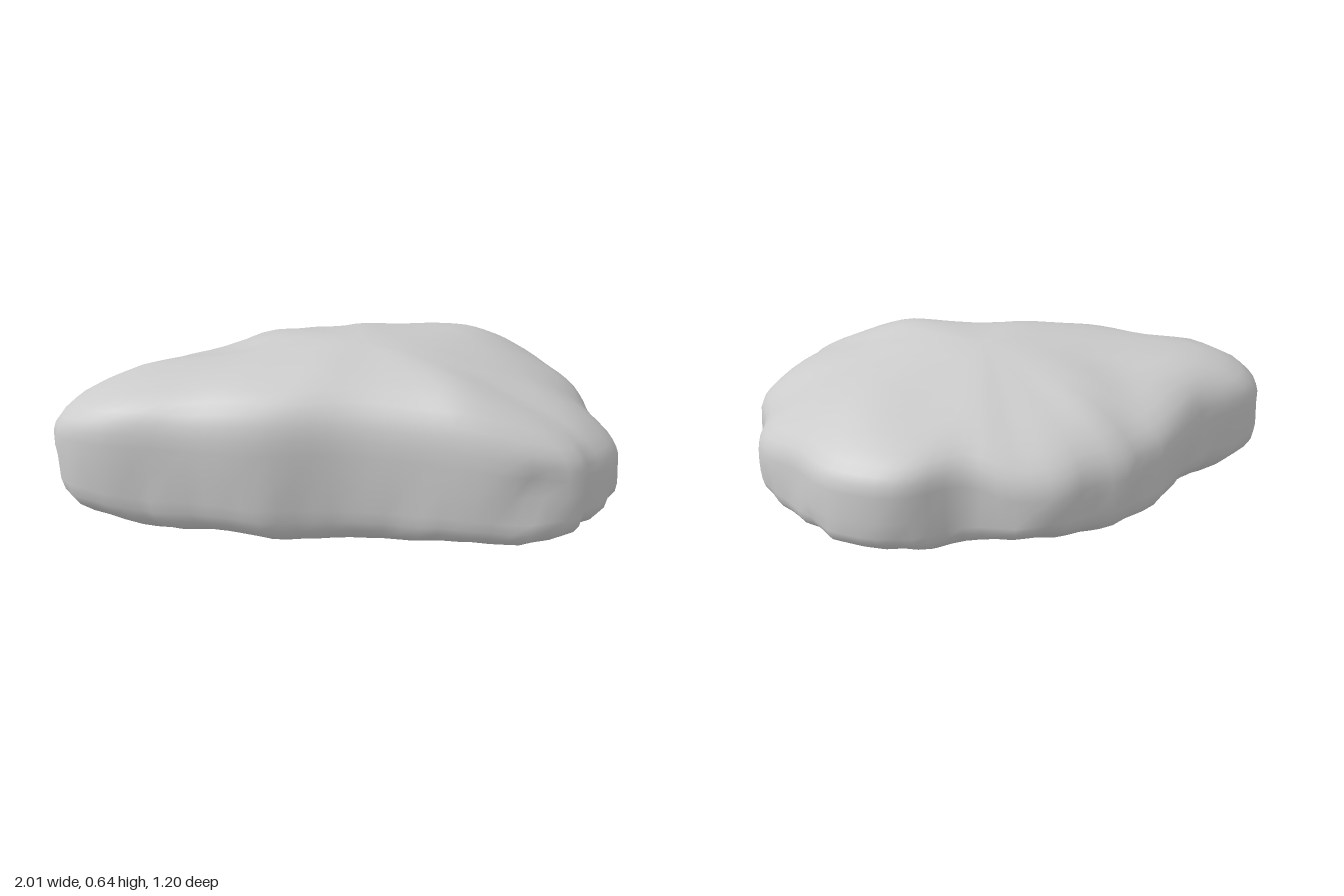
import * as THREE from 'three';

// Plan outline of the boulder at its widest, as [x, z]
const OUTLINE = [
  [-1, .38], [-.97, .28], [-.88, .19], [-.78, .1], [-.72, 0], [-.63, -.15], [-.55, -.23], [-.5, -.31],
  [-.37, -.38], [-.28, -.46], [-.1, -.5], [.06, -.49], [.25, -.59], [.37, -.6], [.55, -.55],
  [.7, -.4], [.86, -.25], [.9, -.18], [.93, 0], [1, .2], [.94, .36], [.88, .42], [.86, .49],
  [.77, .54], [.55, .57], [.3, .55], [.05, .54], [-.22, .59], [-.5, .58], [-.8, .57], [-.97, .49]
];
// How far the top drops below its peak, and the base rises above the ground, along x and z
const PEAK = .655;
const DROP_X = [[-1, .13], [-.9, .09], [-.72, .05], [-.5, .055], [-.3, .025], [0, 0], [.2, .01], [.42, .03], [.6, .08], [.83, .14], [1, .22]];
const DROP_Z = [[-.6, .145], [-.43, .1], [-.25, .05], [0, .01], [.12, 0], [.44, .015], [.6, .04]];
const LIFT_X = [[-1, .07], [-.67, .025], [-.35, .03], [.04, .005], [.4, .04], [1, .06]];
const LIFT_Z = [[-.6, .13], [-.42, .08], [-.25, .02], [-.08, .045], [.08, .06], [.4, .005], [.6, .02]];
const RADII = [.18, .36, .52, .66, .77, .86, .925, .965, .988, .998];
const SEGMENTS = 84;
const CENTRE = new THREE.Vector3(.08, 0, .12);
const { smoothstep, mapLinear } = THREE.MathUtils;

function sample(table, v) {
  for (let i = 1; i < table.length; i++) {
    const [a, ha] = table[i - 1], [b, hb] = table[i];
    if (v <= b) return mapLinear(Math.max(v, a), a, b, ha, hb);
  }
  return table[table.length - 1][1];
}

// Broad repeatable lumps
const lumps = (x, y, z) =>
  Math.sin(7 * x + 3 * y + 1) * Math.sin(8 * z - 4 * y) + .6 * Math.sin(15 * x - 9 * z + 11 * y);

function rockGeometry() {
  const curve = new THREE.CatmullRomCurve3(OUTLINE.map(([x, z]) => new THREE.Vector3(x, 0, z)), true, 'centripetal');
  const rim = curve.getSpacedPoints(SEGMENTS).slice(0, SEGMENTS);
  const positions = [], indices = [];

  const addPoint = (p, r, side, k) => {
    const out = p.clone().sub(CENTRE), dir = out.clone().normalize();
    let x = CENTRE.x + out.x * r;
    let z = CENTRE.z + out.z * r;
    // The back left slopes gently, the right is rounded, the back corner is blunt
    const backLeft = smoothstep(-.75 * dir.x - .66 * dir.z, .4, 1);
    const right = smoothstep(dir.x, .7, 1);
    const backCorner = smoothstep(.37 * dir.x - .93 * dir.z, .75, 1);
    const power = side > 0 ? 4 - 1.1 * backLeft - .7 * right + 2 * backCorner : 5;
    const rise = Math.pow(1 - Math.pow(r, power), 1 / power);
    const top = PEAK - Math.hypot(sample(DROP_X, x), sample(DROP_Z, z));
    const base = Math.hypot(sample(LIFT_X, x), sample(LIFT_Z, z)) + .05 * backLeft * r * r;
    const mid = .3 - .03 * x;
    let y = mid + ((side > 0 ? top : base) - mid) * rise;
    // Chipped lower edge, a dent near the front left, and gentle lumps
    const a = k / SEGMENTS * Math.PI * 2;
    const chip = side < 0 ? .016 * r ** 6 * rise * (Math.sin(17 * a) + Math.sin(29 * a + 1)) : 0;
    const dent = .05 * Math.exp(-((x - .72) ** 2 + (y - .3) ** 2 + (z - .55) ** 2) / .006);
    const grow = chip - dent + .01 * r * rise * lumps(x, y, z);
    x += out.x * grow;
    z += out.z * grow;
    y += .006 * rise * lumps(x + 2, y, z);
    positions.push(x, y, z);
  };

  // Rings from the underside, around the rim, to the top
  const rings = [...RADII.map(r => [r, -1]), [1, 1], ...RADII.slice().reverse().map(r => [r, 1])];
  for (const [r, side] of rings) rim.forEach((p, k) => addPoint(p, r, side, k));
  const bottomPole = rings.length * SEGMENTS, topPole = bottomPole + 1;
  addPoint(CENTRE, 0, -1, 0);
  addPoint(CENTRE, 0, 1, 0);

  const last = (rings.length - 1) * SEGMENTS;
  for (let k = 0; k < SEGMENTS; k++) {
    const n = (k + 1) % SEGMENTS;
    for (let j = 0; j < rings.length - 1; j++) {
      const a = j * SEGMENTS + k, b = j * SEGMENTS + n, c = a + SEGMENTS, d = b + SEGMENTS;
      indices.push(a, c, b, b, c, d);
    }
    indices.push(bottomPole, k, n, topPole, last + n, last + k);
  }

  const geometry = new THREE.BufferGeometry();
  geometry.setAttribute('position', new THREE.Float32BufferAttribute(positions, 3));
  geometry.setIndex(indices);
  geometry.computeBoundingBox();
  geometry.translate(0, -geometry.boundingBox.min.y, 0);
  geometry.computeVertexNormals();
  return geometry;
}

export function createModel() {
  const group = new THREE.Group();
  group.name = 'boulder';
  const rock = new THREE.Mesh(rockGeometry(), new THREE.MeshStandardMaterial({ color: 0xcccccc }));
  rock.name = 'rock';
  group.add(rock);
  return group;
}
